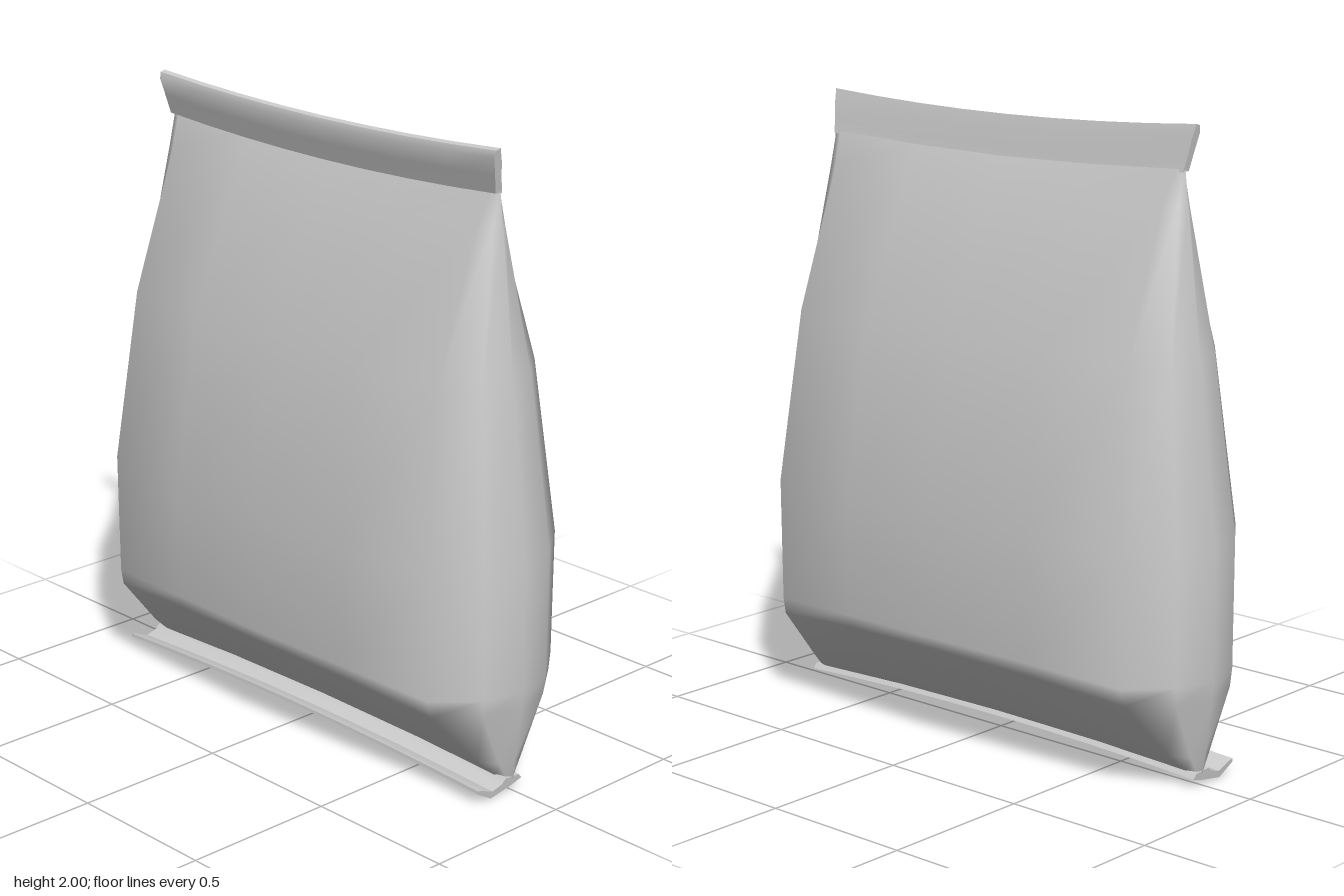
import * as THREE from 'three';
import { toCreasedNormals } from 'three/addons/utils/BufferGeometryUtils.js';

const material = new THREE.MeshStandardMaterial({ color: 0xcccccc, side: THREE.DoubleSide });

// Pillow rings, bottom to top: [y, half width, half depth, corner fraction, arch at the middle]
const RINGS = [
  [0.04, 0.82, 0.03, 0.95, 0.024],
  [0.10, 0.826, 0.11, 0.92, 0.022],
  [0.28, 0.85, 0.305, 0.85, 0.05],
  [0.34, 0.855, 0.32, 0.84, 0.03],
  [0.75, 0.855, 0.325, 0.84, 0],
  [1.31, 0.787, 0.242, 0.865, 0],
  [1.76, 0.732, 0.06, 0.92, -0.015],
  [1.87, 0.72, 0.009, 0.96, -0.022],
];

// One quarter of a ring: pointed side, rounded corner, gently bulging face
function ringPoints(hw, hd, corner) {
  const q = [[1, 0], [(1 + corner) / 2 + 0.04 * (1 - corner) / 0.16, 0.43],
    [corner, 0.85], [corner * 0.53, 0.945], [0, 1]];
  const half = [...q, ...q.slice(0, 4).reverse().map(([x, z]) => [-x, z])];
  const full = [...half, ...half.slice(1, -1).reverse().map(([x, z]) => [x, -z])];
  return full.map(([x, z]) => [x * hw, z * hd, x]);
}

function pillowGeometry() {
  const positions = [], index = [];
  let n = 0;
  for (const [y, hw, hd, corner, arch] of RINGS) {
    const ring = ringPoints(hw, hd, corner);
    n = ring.length;
    for (const [x, z, u] of ring) positions.push(x, y + arch * (1 - u * u), z);
  }
  for (let j = 0; j < RINGS.length - 1; j++) {
    for (let i = 0; i < n; i++) {
      const a = j * n + i, b = j * n + (i + 1) % n;
      index.push(a, a + n, b, b, a + n, b + n);
    }
  }
  const g = new THREE.BufferGeometry();
  g.setAttribute('position', new THREE.Float32BufferAttribute(positions, 3));
  g.setIndex(index);
  g.computeVertexNormals();
  return g;
}

// Crimped strip: a (z, y) profile run across the bag, bowed in the middle
function sealGeometry(profile, halfWidth, arch) {
  const shape = new THREE.Shape(profile.map(([z, y]) => new THREE.Vector2(z, y)));
  const g = new THREE.ExtrudeGeometry(shape, { depth: 2, steps: 8, bevelEnabled: false });
  g.translate(0, 0, -1).rotateY(-Math.PI / 2);
  const p = g.attributes.position;
  for (let i = 0; i < p.count; i++) {
    const u = p.getX(i), y = p.getY(i);
    p.setXYZ(i, u * halfWidth(y), y + arch * (1 - u * u), p.getZ(i));
  }
  return toCreasedNormals(g, 0.6);
}

export function createModel() {
  const group = new THREE.Group();
  group.name = 'bag';
  const add = (name, geometry) => {
    const mesh = new THREE.Mesh(geometry, material);
    mesh.name = name;
    group.add(mesh);
  };

  add('pillowBody', pillowGeometry());

  // Top seal leans forward and flares slightly
  add('topSeal', sealGeometry(
    [[-0.009, 1.86], [0.018, 1.862], [0.032, 1.92], [0.046, 1.975], [0.04, 1.995],
      [0.024, 2.0], [0.012, 1.96], [0.001, 1.9]],
    (y) => 0.718 + 0.022 * (y - 1.86) / 0.14, -0.027));

  // Bottom seal is folded forward under the bag with an upturned lip
  add('bottomSeal', sealGeometry(
    [[-0.042, 0.03], [0, 0.018], [0.09, 0.002], [0.152, 0.038], [0.15, 0.048],
      [0.135, 0.045], [0.085, 0.024], [0.045, 0.035], [0.03, 0.05], [-0.03, 0.045]],
    (y) => 0.815 + 0.1 * y, 0.022));

  return group;
}
